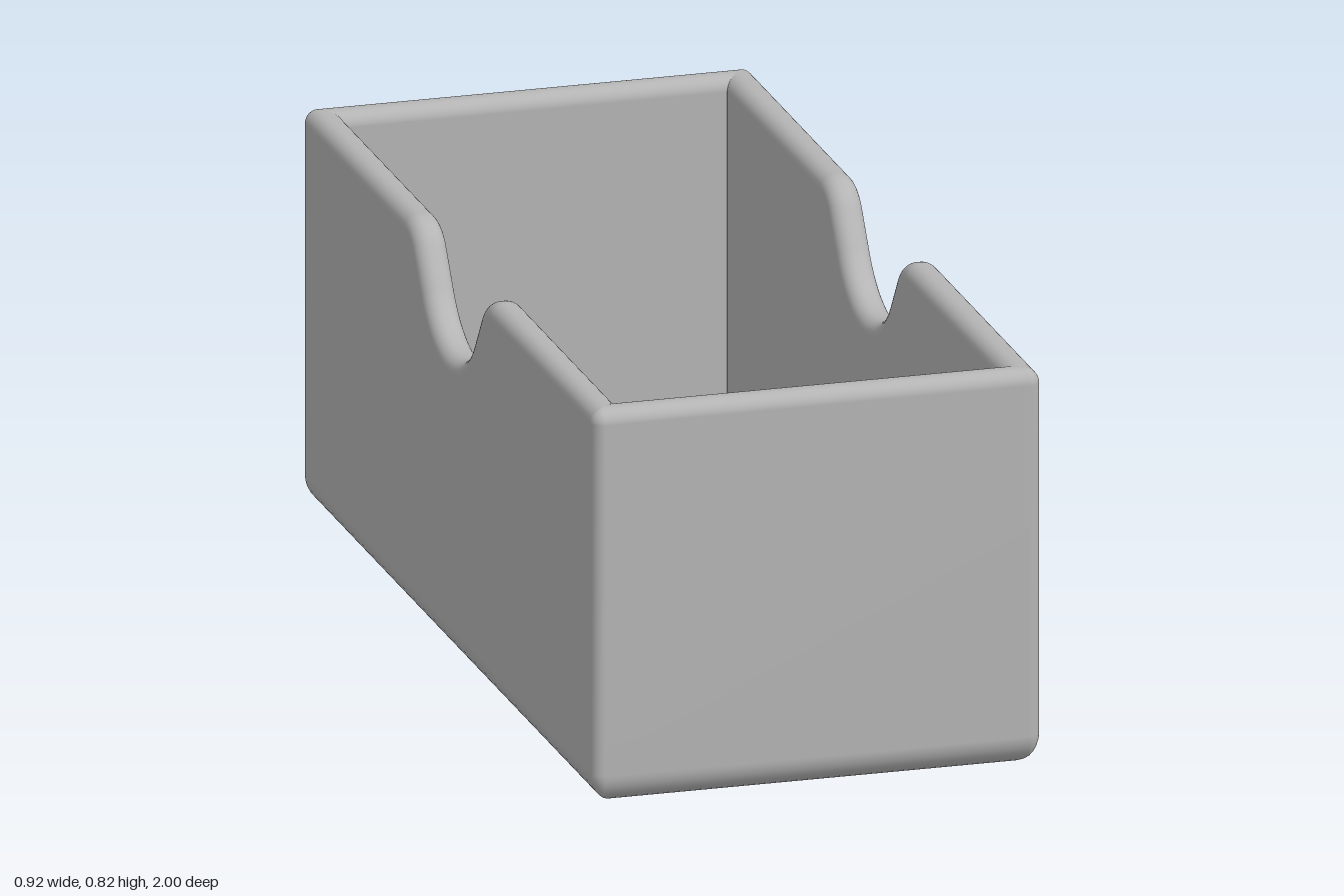
import * as THREE from 'three';

const HX = 0.46, HZ = 1, H = 0.82;    // half width, half length, height
const WALL = 0.068, FLOOR = 0.09;     // wall and floor thickness
const CORNER = 0.025, FOOT = 0.065, RIM = 0.03, INNER = 0.01; // rounding radii

// Top edge of a long wall from z+ to z-: thumb notch with rounded shoulders.
function notchCurve() {
  const a = THREE.MathUtils.degToRad(55), R = 0.2, r = 0.1, zS = 0.296, n = 12;
  const half = [];
  for (let k = 0; k <= n; k++) {      // shoulder
    const t = (a * k) / n;
    half.push({ z: zS - r * Math.sin(t), y: H - r + r * Math.cos(t), nz: -Math.sin(t), ny: Math.cos(t) });
  }
  for (let k = n; k >= 0; k--) {      // scoop
    const t = (a * k) / n;
    half.push({ z: R * Math.sin(t), y: 0.62 + R - R * Math.cos(t), nz: -Math.sin(t), ny: Math.cos(t) });
  }
  const mirrored = half.slice(0, -1).reverse().map(p => ({ ...p, z: -p.z, nz: -p.nz }));
  return [...half, ...mirrored];
}

// Stations around the plan: rounded corners and the two notched sides.
function planStations() {
  const list = [], notch = notchCurve();
  const corner = (sx, sz, q) => {
    for (let k = 0; k <= 6; k++) {
      const t = (q + k / 6) * Math.PI / 2;
      list.push({ sx, sz, cx: Math.cos(t), cz: Math.sin(t) });
    }
  };
  corner(1, 1, 0);
  corner(-1, 1, 1);
  notch.forEach(p => list.push({ sx: -1, edge: p }));
  corner(-1, -1, 2);
  corner(1, -1, 3);
  [...notch].reverse().forEach(p => list.push({ sx: 1, edge: p }));
  return list;
}

// Wall section: inset from the outside, with a height y or a depth d below the rim.
function wallSection() {
  const rows = [], n = 8;
  const arc = fn => {
    for (let k = 0; k <= n; k++) {
      const t = (k / n) * Math.PI / 2;
      rows.push(fn(Math.sin(t), Math.cos(t)));
    }
  };
  arc((s, c) => ({ i: FOOT * (1 - s), y: FOOT * (1 - c) }));                  // foot
  arc((s, c) => ({ i: RIM * (1 - c), d: RIM * (1 - s) }));                    // outer rim
  arc((s, c) => ({ i: WALL - RIM + RIM * s, d: RIM * (1 - c) }));             // inner rim
  arc((s, c) => ({ i: WALL + INNER * (1 - c), y: FLOOR + INNER * (1 - s) })); // floor fillet
  return rows;
}

function place(p, { i, y, d }) {
  if (p.edge) {
    const e = p.edge, x = p.sx * (HX - i);
    return d === undefined ? [x, y, e.z] : [x, e.y - e.ny * d, e.z - e.nz * d];
  }
  const r = Math.max(CORNER - i, 0.001);
  return [
    p.sx * (HX - i - r) + p.cx * r,
    d === undefined ? y : H - d,
    p.sz * (HZ - i - r) + p.cz * r,
  ];
}

function boxGeometry() {
  const plan = planStations(), rows = wallSection(), N = plan.length;
  const pos = [], index = [];
  rows.forEach(row => plan.forEach(p => pos.push(...place(p, row))));
  for (let j = 0; j < rows.length - 1; j++) {
    for (let k = 0; k < N; k++) {
      const a = j * N + k, b = j * N + (k + 1) % N;
      index.push(a, a + N, b, b, a + N, b + N);
    }
  }
  // Underside and inside floor
  const under = pos.length / 3, last = (rows.length - 1) * N;
  pos.push(0, 0, 0, 0, FLOOR, 0);
  for (let k = 0; k < N; k++) {
    const m = (k + 1) % N;
    index.push(under, k, m, under + 1, last + m, last + k);
  }
  const g = new THREE.BufferGeometry();
  g.setAttribute('position', new THREE.Float32BufferAttribute(pos, 3));
  g.setIndex(index);
  g.computeVertexNormals();
  return g;
}

export function createModel() {
  const group = new THREE.Group();
  group.name = 'openBox';
  const grey = new THREE.MeshStandardMaterial({ color: 0xb4b4b4 });
  grey.name = 'grey';
  const tray = new THREE.Mesh(boxGeometry(), grey);
  tray.name = 'notchedTray';
  group.add(tray);
  return group;
}
